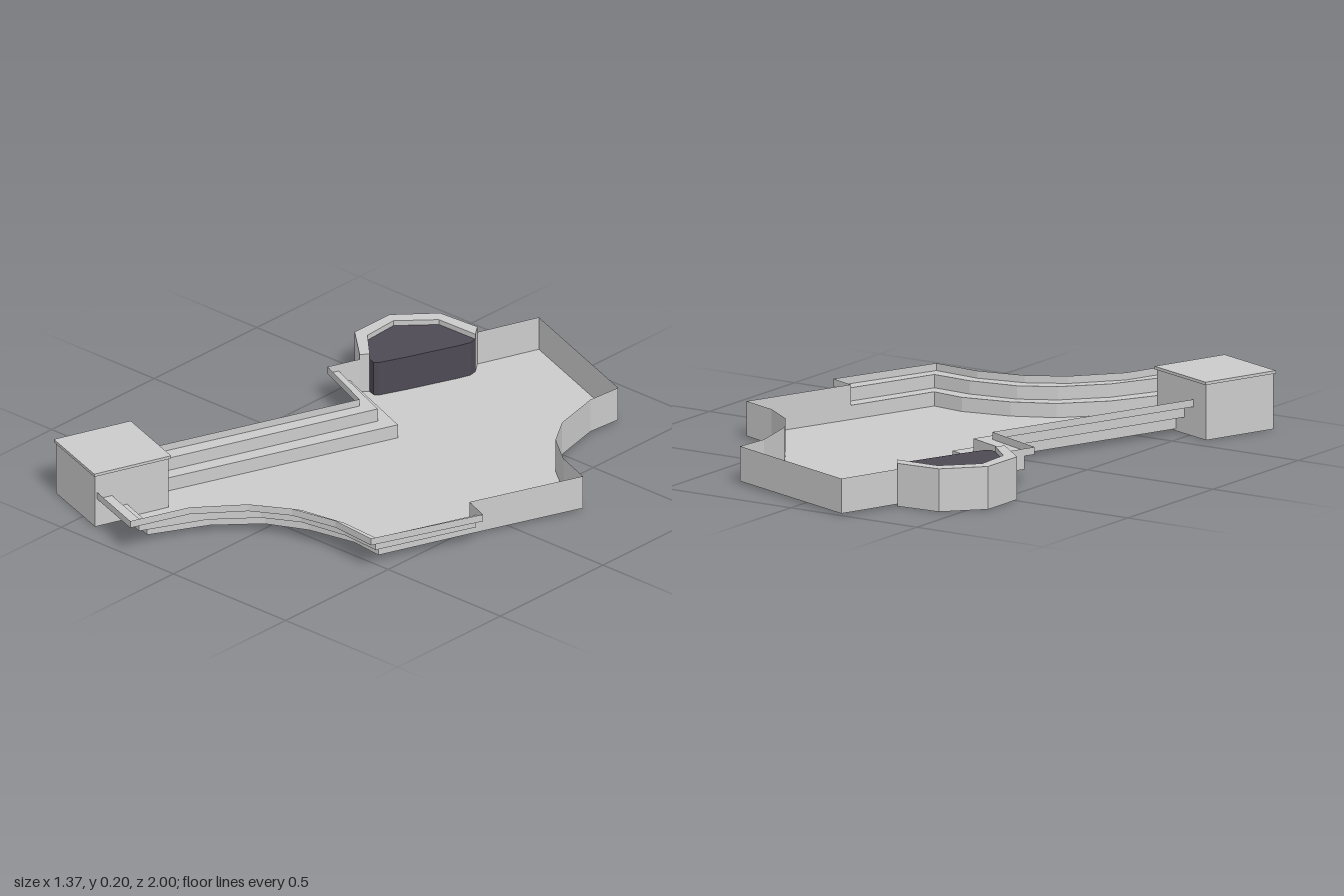
import * as THREE from 'three';

const FLOOR = 0.007, TOP = 0.125;
const LEVELS = [FLOOR, 0.055, 0.1, TOP]; // floor, two treads, rim

const grey = new THREE.MeshStandardMaterial({ color: 0xcccccc, flatShading: true, side: THREE.DoubleSide });
const dark = new THREE.MeshStandardMaterial({ color: 0x4e4a54, flatShading: true, side: THREE.DoubleSide });

// Plan points are [x, z]
const backLeft = [-0.2, -1];
const sideWall = [
  [-0.277, -0.785], backLeft, [0.337, -0.8], [0.327, -0.675], [0.37, -0.49],
  [0.437, -0.385], [0.55, -0.3], [0.683, -0.25], [0.533, 0.14],
];

// Stair lines, from the lowest riser to the highest
const frontLines = [
  [[0.533, 0.14], [0.415, 0.455], [0.295, 0.44], [0.125, 0.475], [-0.013, 0.54], [-0.14, 0.67], [-0.245, 0.86], [-0.42, 0.795]],
  [[0.58, 0.158], [0.447, 0.503], [0.3, 0.493], [0.13, 0.52], [0.012, 0.585], [-0.11, 0.715], [-0.22, 0.927], [-0.435, 0.85]],
  [[0.627, 0.177], [0.473, 0.553], [0.3, 0.537], [0.135, 0.57], [0.008, 0.643], [-0.12, 0.79], [-0.197, 0.995], [-0.425, 0.912]],
];
const leftLines = [
  [[-0.443, -0.345], [-0.11, -0.215], [-0.435, 0.65]],
  [[-0.457, -0.305], [-0.177, -0.19], [-0.48, 0.635]],
  [[-0.472, -0.267], [-0.235, -0.165], [-0.53, 0.62]],
];

// Planter outline, outer and inner edge of the kerb
const kerbOuter = [[-0.277, -0.785], [-0.435, -0.775], [-0.55, -0.655], [-0.55, -0.485], [-0.427, -0.375]];
const kerbInner = [[-0.245, -0.74], [-0.405, -0.737], [-0.51, -0.63], [-0.502, -0.495], [-0.405, -0.4]];
const bedFront = [[-0.38, -0.39], [-0.365, -0.4], [-0.325, -0.49], [-0.285, -0.59], [-0.255, -0.665], [-0.24, -0.71]];

function addMesh(parent, name, geometry, material = grey) {
  const mesh = new THREE.Mesh(geometry, material);
  mesh.name = name;
  parent.add(mesh);
  return mesh;
}

// Surface between two plan lines at two heights
function strip(a, ya, b, yb) {
  const pos = [];
  for (let i = 0; i < a.length - 1; i++) {
    const p = [a[i][0], ya, a[i][1]], q = [a[i + 1][0], ya, a[i + 1][1]];
    const r = [b[i + 1][0], yb, b[i + 1][1]], s = [b[i][0], yb, b[i][1]];
    pos.push(...p, ...q, ...r, ...p, ...r, ...s);
  }
  const g = new THREE.BufferGeometry();
  g.setAttribute('position', new THREE.Float32BufferAttribute(pos, 3));
  g.computeVertexNormals();
  return g;
}
const wall = (line, y0, y1) => strip(line, y0, line, y1);

const planShape = pts => new THREE.Shape(pts.map(([x, z]) => new THREE.Vector2(x, -z)));
const slab = (pts, y0, y1) =>
  new THREE.ExtrudeGeometry(planShape(pts), { depth: y1 - y0, bevelEnabled: false })
    .rotateX(-Math.PI / 2).translate(0, y0, 0);

// Risers, treads and the low wall closing the open end of a stair
function stair(name, lines) {
  const group = new THREE.Group();
  group.name = name;
  lines.forEach((line, i) => {
    addMesh(group, 'riser', wall(line, LEVELS[i], LEVELS[i + 1]));
    if (i === 2) return;
    addMesh(group, 'tread', strip(line, LEVELS[i + 1], lines[i + 1], LEVELS[i + 1]));
    addMesh(group, 'endWall', wall([line[0], lines[i + 1][0]], LEVELS[i + 1], TOP));
  });
  return group;
}

export function createModel() {
  const model = new THREE.Group();
  model.name = 'sunkenPlaza';

  // Floor and side walls
  const outline = [...sideWall, ...frontLines[0].slice(1), ...leftLines[0].slice().reverse()];
  addMesh(model, 'floor', new THREE.ShapeGeometry(planShape(outline)).rotateX(-Math.PI / 2).translate(0, FLOOR, 0));
  addMesh(model, 'sideWall', wall(sideWall, FLOOR, TOP));
  addMesh(model, 'planterLinkWall', wall([[-0.427, -0.385], leftLines[0][0]], FLOOR, TOP));

  // Stairs
  model.add(stair('frontStair', frontLines), stair('leftStair', leftLines));

  // Planter
  const planter = new THREE.Group();
  planter.name = 'planter';
  addMesh(planter, 'kerb', slab([...kerbOuter, ...kerbInner.slice().reverse()], 0, 0.145));
  addMesh(planter, 'bed', slab([...kerbInner, ...bedFront], 0.002, 0.127), dark);
  model.add(planter);

  // Corner block with a thin overhanging lid
  const block = new THREE.Group();
  block.name = 'cornerBlock';
  block.position.set(-0.503, 0, 0.747);
  block.rotation.y = -0.345;
  addMesh(block, 'blockBody', new THREE.BoxGeometry(0.274, 0.19, 0.274)).position.y = 0.095;
  addMesh(block, 'blockLid', new THREE.BoxGeometry(0.286, 0.01, 0.286)).position.y = 0.193;
  return model.add(block);
}
